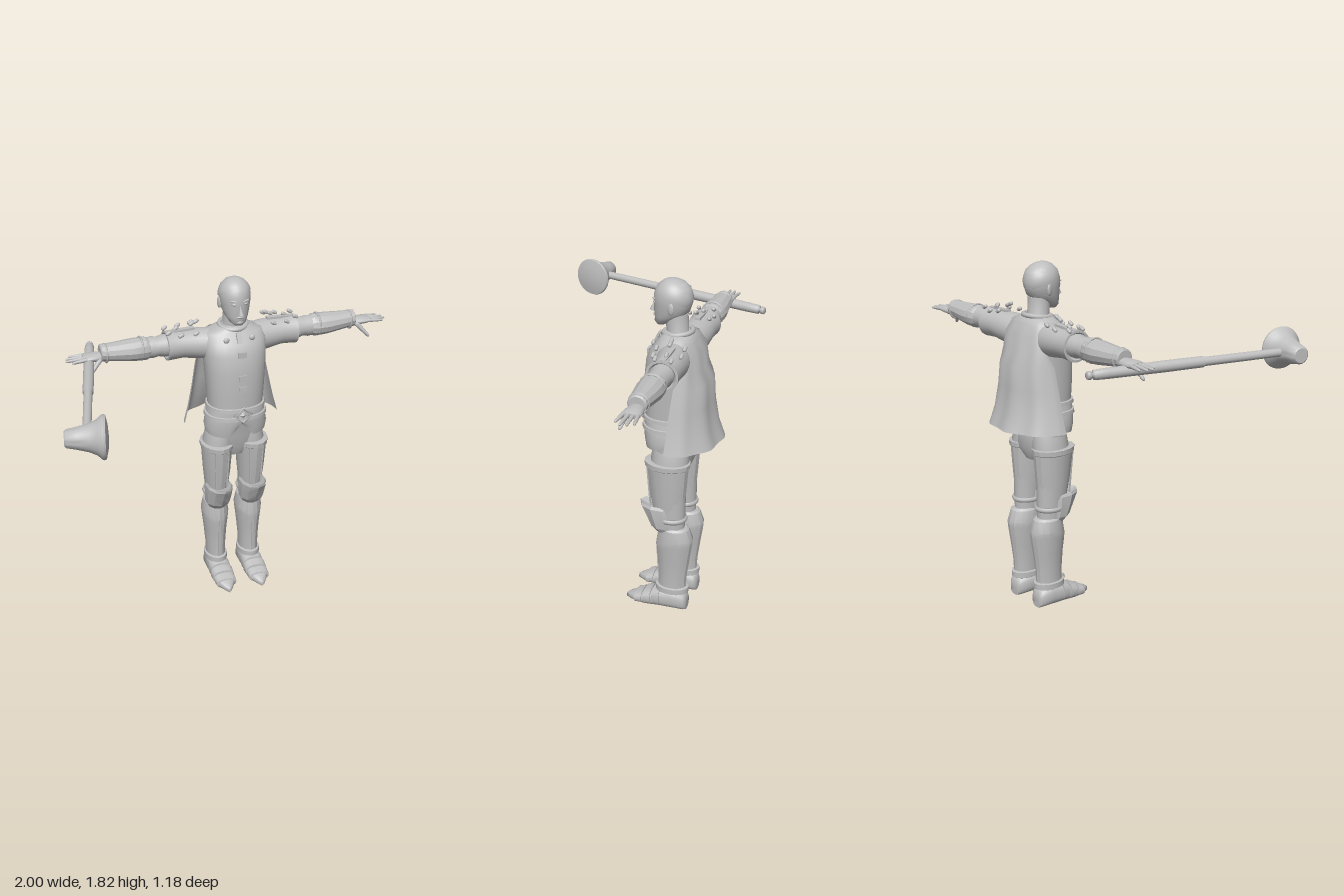
import * as THREE from 'three';
import { toCreasedNormals } from 'three/addons/utils/BufferGeometryUtils.js';

const grey = new THREE.MeshStandardMaterial({ color: 0xbebebe, side: THREE.DoubleSide });
grey.name = 'plain grey';

function part(name, geo, parent, pos = [0, 0, 0], rot = [0, 0, 0], scale = [1, 1, 1]) {
  const m = new THREE.Mesh(geo, grey);
  m.name = name;
  m.position.set(...pos);
  m.rotation.set(...rot);
  m.scale.set(...scale);
  parent.add(m);
  return m;
}

// Skin superellipse sections [along, c1, c2, r1, r2] running along an axis.
// axis y: centre x,z - axis x: centre y,z - axis z: centre x,y
function loft(axis, sections, { power = 2, n = 28, caps = true, crease = 0.7, warp } = {}) {
  const pos = [], idx = [];
  const put = (a, u, v) => pos.push(...(axis === 'y' ? [u, a, v] : axis === 'x' ? [a, u, v] : [u, v, a]));
  const f = (c) => Math.sign(c) * Math.abs(c) ** (2 / power);
  sections.forEach(([a, c1, c2, r1, r2], i) => {
    for (let j = 0; j < n; j++) {
      const t = (j / n) * Math.PI * 2, s = f(Math.sin(t)), c = f(Math.cos(t));
      const shift = warp ? warp(i, t > Math.PI ? t - Math.PI * 2 : t) : 0;
      if (axis === 'y') put(a + shift, c1 + r1 * s, c2 + r2 * c);
      else put(a + shift, c1 + r1 * c, c2 + r2 * s);
    }
  });
  const last = sections.length - 1;
  for (let i = 0; i < last; i++) for (let j = 0; j < n; j++) {
    const k = (j + 1) % n, a = i * n + j, b = i * n + k, c = b + n, d = a + n;
    idx.push(a, b, c, a, c, d);
  }
  if (caps) for (const i of [0, last]) {
    const [a, c1, c2] = sections[i], centre = pos.length / 3;
    put(a, c1, c2);
    for (let j = 0; j < n; j++) {
      const p = i * n + j, q = i * n + (j + 1) % n;
      if (i) idx.push(centre, p, q); else idx.push(centre, q, p);
    }
  }
  const g = new THREE.BufferGeometry();
  g.setAttribute('position', new THREE.Float32BufferAttribute(pos, 3));
  g.setIndex(idx);
  return toCreasedNormals(g, crease);
}

// Rounded rod between two points
function rod(name, a, b, r, parent, r2 = r) {
  const A = new THREE.Vector3(...a), B = new THREE.Vector3(...b), d = B.clone().sub(A);
  const g = new THREE.CapsuleGeometry(r, d.length(), 4, 10);
  if (r2 !== r) {
    const p = g.attributes.position;
    for (let i = 0; i < p.count; i++) {
      const k = 1 + (r2 / r - 1) * THREE.MathUtils.clamp(p.getY(i) / d.length() + 0.5, 0, 1);
      p.setX(i, p.getX(i) * k);
      p.setZ(i, p.getZ(i) * k);
    }
    g.computeVertexNormals();
  }
  const m = part(name, g, parent, A.clone().add(B).multiplyScalar(0.5).toArray());
  m.quaternion.setFromUnitVectors(new THREE.Vector3(0, 1, 0), d.normalize());
}

// Bake a limb and reflect it in x, keeping faces outward
function mirrored(group, name) {
  const out = new THREE.Group();
  out.name = name;
  group.updateMatrixWorld(true);
  group.traverse((m) => {
    if (!m.isMesh) return;
    const g = (m.geometry.index ? m.geometry.toNonIndexed() : m.geometry.clone()).applyMatrix4(m.matrixWorld);
    for (const key of ['position', 'normal']) {
      const p = g.attributes[key];
      for (let i = 0; i < p.count; i += 3) {
        const v = [0, 2, 1].map((k) => [-p.getX(i + k), p.getY(i + k), p.getZ(i + k)]);
        v.forEach((w, k) => p.setXYZ(i + k, ...w));
      }
    }
    part(m.name, g, out);
  });
  return out;
}

const ball = new THREE.SphereGeometry(1, 20, 14);
const box = (x, y, z) => new THREE.BoxGeometry(x, y, z);

function makeHead() {
  const h = new THREE.Group();
  h.name = 'head';
  part('skull', loft('y', [[1.583, 0, -0.243, 0.024, 0.022], [1.6, 0, -0.255, 0.045, 0.043], [1.63, 0, -0.28, 0.062, 0.07],
    [1.66, 0, -0.297, 0.072, 0.09], [1.7, 0, -0.303, 0.08, 0.097], [1.74, 0, -0.305, 0.083, 0.099],
    [1.78, 0, -0.305, 0.074, 0.086], [1.805, 0, -0.305, 0.05, 0.06], [1.819, 0, -0.305, 0.015, 0.02]], { crease: 1.3 }), h);
  part('shortHair', new THREE.SphereGeometry(1, 28, 14, 0, Math.PI * 2, 0, 1.5), h, [0, 1.732, -0.307], [-0.5, 0, 0], [0.087, 0.09, 0.098]);
  part('neck', loft('y', [[1.5, 0, -0.34, 0.075, 0.065], [1.55, 0, -0.33, 0.056, 0.055], [1.65, 0, -0.32, 0.055, 0.06]]), h);
  part('nose', new THREE.ConeGeometry(0.015, 0.055, 8), h, [0, 1.675, -0.203], [-0.2, 0, 0]);
  part('lips', ball, h, [0, 1.632, -0.212], [0, 0, 0], [0.021, 0.007, 0.008]);
  part('chin', ball, h, [0, 1.602, -0.224], [0, 0, 0], [0.022, 0.015, 0.015]);
  for (const s of [-1, 1]) {
    part('eye', ball, h, [s * 0.032, 1.703, -0.216], [0, s * 0.4, 0], [0.014, 0.006, 0.006]);
    part('eyebrow', ball, h, [s * 0.033, 1.721, -0.215], [0, s * 0.4, s * 0.12], [0.02, 0.005, 0.008]);
    part('ear', ball, h, [s * 0.081, 1.69, -0.315], [0, s * -0.3, 0], [0.008, 0.03, 0.018]);
  }
  return h;
}

function makeTorso() {
  const t = new THREE.Group();
  t.name = 'torso';
  part('tunic', loft('y', [[1.08, 0, -0.3, 0.148, 0.122], [1.2, 0, -0.3, 0.157, 0.127], [1.32, 0, -0.303, 0.165, 0.13],
    [1.42, 0, -0.31, 0.172, 0.127], [1.48, 0, -0.325, 0.175, 0.118], [1.525, 0, -0.34, 0.16, 0.092],
    [1.55, 0, -0.335, 0.09, 0.073], [1.56, 0, -0.33, 0.065, 0.062]], { power: 2.3, crease: 1 }), t);
  part('collar', new THREE.TorusGeometry(0.072, 0.013, 8, 28), t, [0, 1.553, -0.333], [Math.PI / 2 + 0.12, 0, 0]);
  // Skirt with a notch at the front
  part('skirt', loft('y', [[0.945, 0, -0.3, 0.168, 0.112], [0.99, 0, -0.3, 0.174, 0.12], [1.05, 0, -0.3, 0.165, 0.126], [1.12, 0, -0.3, 0.152, 0.124]],
    { power: 2.3, n: 48, caps: false, warp: (i, a) => i > 1 ? 0 : (1 - i * 0.5) * (0.08 * Math.max(0, 1 - Math.abs(a) / 0.35) + 0.03 * (1 - Math.cos(a)) / 2) }), t);
  part('hips', loft('y', [[0.8, 0, -0.335, 0.06, 0.07], [0.86, 0, -0.335, 0.145, 0.095], [0.93, 0, -0.33, 0.158, 0.1], [1.05, 0, -0.31, 0.15, 0.11]], { power: 2.4 }), t);
  for (const [y, r] of [[1.06, 0.166], [1.11, 0.156]])
    part('belt', loft('y', [[y - 0.012, 0, -0.3, r, 0.128], [y - 0.01, 0, -0.3, r + 0.007, 0.135], [y + 0.01, 0, -0.3, r + 0.005, 0.133], [y + 0.012, 0, -0.3, r - 0.004, 0.126]], { power: 2.3 }), t);
  part('buckle', new THREE.TorusGeometry(0.042, 0.009, 6, 4), t, [0, 1.087, -0.163], [0, 0, 0], [1.1, 1, 1]);
  part('buckleCentre', new THREE.OctahedronGeometry(0.02), t, [0, 1.087, -0.164], [0, 0, 0], [1, 1, 0.5]);
  for (const y of [1.43, 1.3, 1.235]) part('clasp', box(0.045, 0.032, 0.012), t, [0, y, y > 1.4 ? -0.182 : -0.173]);
  part('collarTab', box(0.03, 0.06, 0.012), t, [0, 1.51, -0.225], [-0.45, 0, 0]);
  for (const s of [-1, 1]) part('chestStud', ball, t, [s * 0.072, 1.505, -0.228], [0, 0, 0], [0.016, 0.016, 0.01]);
  return t;
}

// Cape: half-ellipse rows [y, half width, edge z, back z]
function makeCape() {
  const rows = [[1.53, 0.12, -0.395, -0.425], [1.47, 0.165, -0.4, -0.465], [1.38, 0.178, -0.4, -0.48], [1.32, 0.198, -0.375, -0.515],
    [1.2, 0.22, -0.365, -0.522], [1.08, 0.245, -0.36, -0.542], [0.99, 0.268, -0.355, -0.575]];
  const n = 32, g = new THREE.PlaneGeometry(1, 1, n, rows.length - 1), p = g.attributes.position;
  rows.forEach(([y, w, zf, zb], i) => {
    for (let j = 0; j <= n; j++) {
      const a = (0.5 - j / n) * Math.PI, fold = 0.0012 * i * Math.sin(a * 9);
      p.setXYZ(i * (n + 1) + j, w * Math.sin(a), y, zf + (zb - zf) * Math.cos(a) + fold);
    }
  });
  g.computeVertexNormals();
  return g;
}

function makeArm() {
  const a = new THREE.Group();
  a.name = 'leftArm';
  const z = -0.367;
  part('sleeve', loft('x', [[0.1, 1.45, -0.345, 0.085, 0.085], [0.18, 1.457, -0.36, 0.083, 0.084], [0.28, 1.463, z, 0.074, 0.076],
    [0.345, 1.464, z, 0.078, 0.08], [0.365, 1.464, z, 0.08, 0.082], [0.366, 1.464, z, 0.068, 0.07], [0.34, 1.464, z, 0.05, 0.05]], { crease: 0.8 }), a);
  part('upperArm', loft('x', [[0.3, 1.465, z, 0.055, 0.057], [0.38, 1.467, z, 0.06, 0.06], [0.41, 1.467, z, 0.052, 0.054], [0.44, 1.467, z, 0.058, 0.057],
    [0.5, 1.465, z, 0.05, 0.052], [0.72, 1.457, z, 0.028, 0.036]], { crease: 1 }), a);
  part('vambrace', loft('x', [[0.455, 1.467, z, 0.052, 0.055], [0.475, 1.467, z, 0.062, 0.064], [0.55, 1.468, z, 0.059, 0.068],
    [0.66, 1.472, z, 0.048, 0.055], [0.715, 1.476, z, 0.045, 0.048], [0.72, 1.476, z, 0.038, 0.04]], { n: 12, crease: 0.4 }), a);
  part('vambraceFin', new THREE.ConeGeometry(0.022, 0.22, 4), a, [0.615, 1.508, z], [0, 0, -1.45]);
  for (const x of [0.5, 0.69]) part('vambraceStrap', new THREE.TorusGeometry(x < 0.6 ? 0.06 : 0.048, 0.006, 6, 20), a, [x, 1.47, z], [0, Math.PI / 2, 0]);
  part('palm', loft('x', [[0.7, 1.456, z, 0.024, 0.033], [0.74, 1.457, z, 0.023, 0.042], [0.79, 1.46, z, 0.019, 0.047], [0.81, 1.46, z, 0.012, 0.043]], { crease: 1.2 }), a);
  [0.06, 0.085, 0.08, 0.06].forEach((l, i) => rod('finger', [0.8, 1.461, z + 0.035 - i * 0.023],
    [0.808 + l, 1.457, z + 0.044 - i * 0.029], 0.011, a, 0.007));
  rod('thumb', [0.73, 1.447, z + 0.032], [0.785, 1.385, z + 0.055], 0.014, a, 0.009);
  // Loose rivets on the shoulder
  for (const [x, y, q] of [[0.19, 1.585, -0.36], [0.215, 1.575, -0.36], [0.3, 1.555, -0.37], [0.21, 1.545, -0.29], [0.29, 1.54, -0.3],
    [0.2, 1.555, -0.43], [0.27, 1.545, -0.435], [0.35, 1.55, -0.33], [0.35, 1.55, -0.41]])
    rod('rivet', [x, y, q], [x + 0.013, y - 0.007, q], 0.01, a);
  part('shoulderStrap', box(0.15, 0.012, 0.03), a, [0.28, 1.541, z], [0, 0, -0.04]);
  return a;
}

function makeLeg() {
  const l = new THREE.Group();
  l.name = 'leftLeg';
  const x = 0.1;
  part('trouserLeg', loft('y', [[0.4, x, -0.35, 0.052, 0.065], [0.55, x, -0.345, 0.06, 0.075], [0.75, x, -0.33, 0.07, 0.09],
    [0.88, 0.09, -0.33, 0.083, 0.1], [0.95, 0.08, -0.33, 0.075, 0.095]], { crease: 1 }), l);
  part('thighGuard', loft('y', [[0.6, x, -0.33, 0.064, 0.083], [0.7, x, -0.325, 0.074, 0.098], [0.845, x, -0.32, 0.084, 0.113],
    [0.85, x, -0.32, 0.09, 0.12], [0.875, x, -0.32, 0.091, 0.122], [0.878, x, -0.32, 0.078, 0.105]], { n: 16, crease: 0.42 }), l);
  for (const s of [-1, 1]) part('thighRidge', box(0.008, 0.24, 0.008), l, [x + s * 0.034, 0.735, -0.231], [0.08, 0, s * -0.03]);
  part('kneeGuard', loft('y', [[0.465, x, -0.325, 0.05, 0.055], [0.5, x, -0.31, 0.07, 0.075], [0.56, x, -0.295, 0.076, 0.088],
    [0.61, x, -0.285, 0.074, 0.108], [0.625, x, -0.29, 0.065, 0.115], [0.6, x, -0.31, 0.055, 0.07]], { n: 10, crease: 0.35 }), l);
  part('kneeStrap', new THREE.TorusGeometry(0.07, 0.009, 6, 24), l, [x, 0.55, -0.345], [Math.PI / 2, 0, 0], [0.95, 1.1, 1.5]);
  part('greave', loft('y', [[0.1, x, -0.358, 0.054, 0.076], [0.2, x, -0.36, 0.055, 0.077], [0.3, x, -0.363, 0.063, 0.087],
    [0.4, x, -0.366, 0.074, 0.098], [0.43, x, -0.366, 0.076, 0.1], [0.49, x, -0.362, 0.066, 0.082], [0.5, x, -0.362, 0.055, 0.07]],
  { n: 16, crease: 0.42, warp: (i, a) => (i === 3 || i === 4) ? -0.035 * Math.max(0, Math.cos(a)) : 0 }), l);
  part('shinRidge', box(0.012, 0.27, 0.012), l, [x, 0.25, -0.28], [0.06, 0, 0]);
  part('ankleBand', loft('y', [[0.1, x, -0.358, 0.055, 0.08], [0.105, x, -0.358, 0.063, 0.09], [0.135, x, -0.358, 0.063, 0.09], [0.14, x, -0.358, 0.052, 0.075]]), l);
  // Pointed shoe: [z, half width, half height]
  const shoe = [[-0.443, 0.035, 0.038], [-0.43, 0.05, 0.05], [-0.36, 0.056, 0.058], [-0.29, 0.058, 0.054], [-0.22, 0.062, 0.036],
    [-0.16, 0.048, 0.026], [-0.12, 0.022, 0.018], [-0.103, 0.005, 0.012]];
  part('shoe', loft('z', shoe.map(([z, w, h]) => [z, x, h, w, h]), { power: 2.6, crease: 0.9 }), l);
  for (const [z, w, h] of [[-0.3, 0.062, 0.058], [-0.25, 0.065, 0.047], [-0.2, 0.061, 0.035]])
    part('shoePlate', loft('z', [[z, x, h + 0.002, w, h], [z + 0.04, x, h - 0.005, w - 0.002, h - 0.007], [z + 0.042, x, h - 0.008, w - 0.008, h - 0.011]], { power: 2.6, crease: 0.5 }), l);
  return l;
}

function makeMallet() {
  const m = new THREE.Group();
  m.name = 'mallet';
  // Local +y runs along the handle towards the head
  const pts = (list) => list.map(([r, y]) => new THREE.Vector2(r, y));
  part('handle', new THREE.LatheGeometry(pts([[0, 0], [0.015, 0], [0.02, 0.006], [0.02, 0.02], [0.012, 0.025], [0.012, 0.034], [0.024, 0.036],
    [0.026, 0.1], [0.028, 0.4], [0.027, 0.6], [0.022, 0.61], [0.021, 1.08], [0, 1.08]]), 20), m);
  const head = toCreasedNormals(new THREE.LatheGeometry(pts([[0, 0], [0.036, 0], [0.044, 0.008], [0.054, 0.06], [0.068, 0.115], [0.084, 0.15],
    [0.103, 0.17], [0.107, 0.18], [0.103, 0.19], [0.06, 0.2], [0, 0.204]]), 36), 0.7);
  part('malletHead', head, m, [-0.102, 1.087, 0], [0, 0, -Math.PI / 2]);
  m.rotation.set(Math.PI / 2, 0, 0.254);
  m.position.set(-0.622, 1.432, -0.595);
  return m;
}

export function createModel() {
  const model = new THREE.Group(), body = new THREE.Group();
  model.name = 'armouredFigure';
  body.name = 'body';
  const arm = makeArm(), leg = makeLeg();
  body.add(makeHead(), makeTorso(), arm, mirrored(arm, 'rightArm'), leg, mirrored(leg, 'rightLeg'));
  part('cape', makeCape(), body);
  body.position.x = 0.098;
  model.add(body, makeMallet());
  return model;
}
